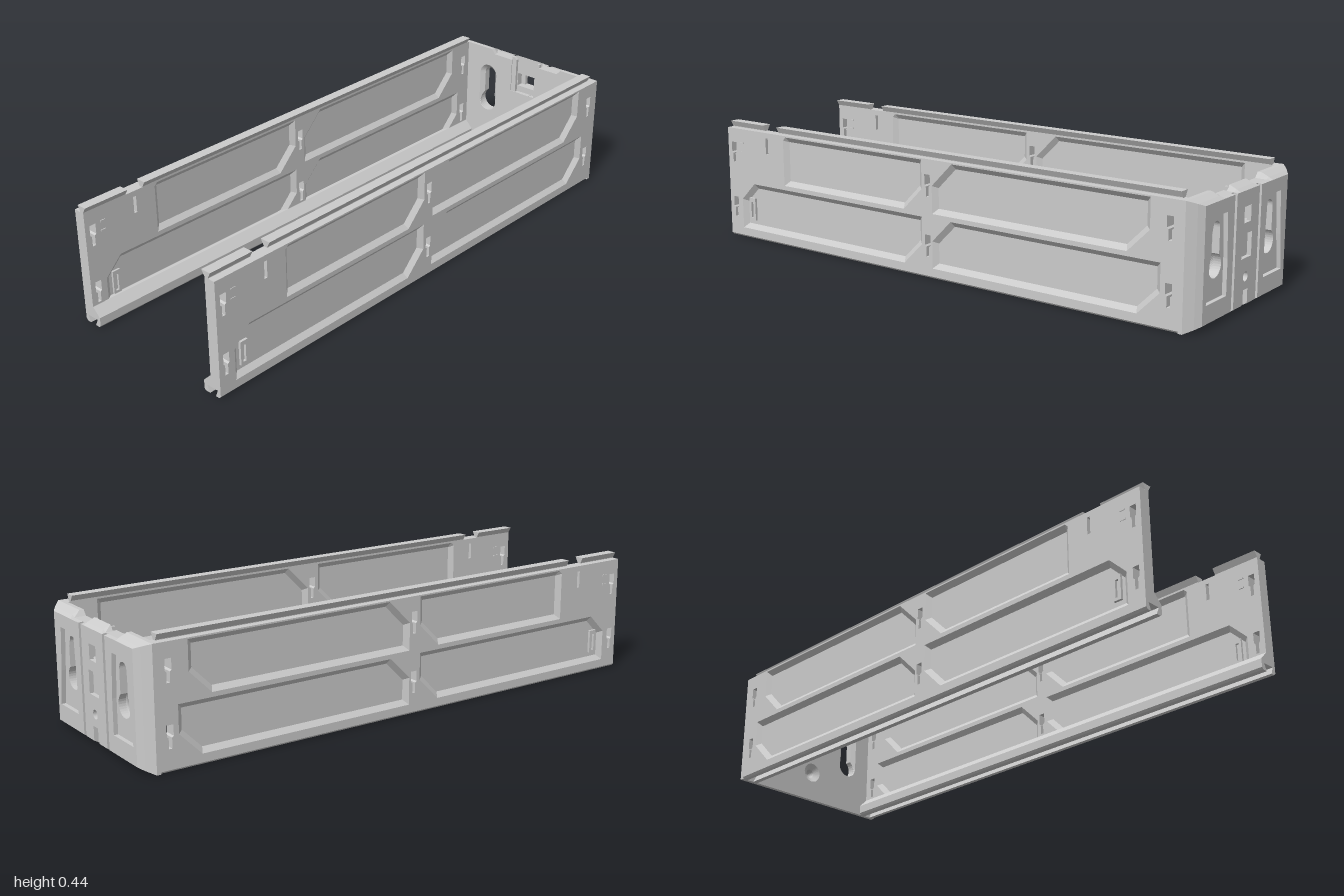
import * as THREE from 'three';

const mat = new THREE.MeshStandardMaterial({ color: 0xcccccc, side: THREE.DoubleSide });

const toShape = (pts, holes = []) => {
  const s = new THREE.Shape(pts.map(p => new THREE.Vector2(p[0], p[1])));
  s.holes = holes.map(h => new THREE.Path(h.map(p => new THREE.Vector2(p[0], p[1]))));
  return s;
};
const extrude = (pts, holes, z0, z1) =>
  new THREE.ExtrudeGeometry(toShape(pts, holes), { depth: z1 - z0, bevelEnabled: false }).translate(0, 0, z0);
const rect = (x0, x1, y0, y1) => [[x0, y0], [x1, y0], [x1, y1], [x0, y1]];
const mirrorX = pts => pts.map(([x, y]) => [-x, y]).reverse();

function add(parent, name, geo) {
  const m = new THREE.Mesh(geo, mat);
  m.name = name;
  parent.add(m);
  return m;
}

// Sloped band between two outlines with matching points
function loft(a, za, b, zb) {
  const v = [];
  a.forEach((p, i) => {
    const j = (i + 1) % a.length;
    const A = [...p, za], B = [...a[j], za], C = [...b[j], zb], D = [...b[i], zb];
    v.push(...A, ...B, ...C, ...A, ...C, ...D);
  });
  const g = new THREE.BufferGeometry();
  g.setAttribute('position', new THREE.Float32BufferAttribute(v, 3));
  g.computeVertexNormals();
  return g;
}

// Shrink a convex counter-clockwise outline by d
function inset(pts, d) {
  const n = pts.length;
  const normal = (p, q) => {
    const l = Math.hypot(q[0] - p[0], q[1] - p[1]);
    return [-(q[1] - p[1]) / l, (q[0] - p[0]) / l];
  };
  return pts.map((p, i) => {
    const a = normal(pts[(i + n - 1) % n], p), b = normal(p, pts[(i + 1) % n]);
    const k = d / (1 + a[0] * b[0] + a[1] * b[1]);
    return [p[0] + (a[0] + b[0]) * k, p[1] + (a[1] + b[1]) * k];
  });
}

// Panel outline with clipped top-front and bottom-rear corners
const pocket = (s0, s1, y0, y1, c1, c2) => [
  [s0, y0], [s1 - c2, y0], [s1, y0 + c2], [s1, y1], [s0 + c1, y1], [s0, y1 - c1],
];
// Stepped hook slot, wide above and narrow below
const hookSlot = (s, y) => [
  [s - 0.006, y - 0.04], [s + 0.006, y - 0.04], [s + 0.006, y - 0.005], [s + 0.012, y],
  [s + 0.012, y + 0.037], [s - 0.012, y + 0.037], [s - 0.012, y], [s - 0.006, y - 0.005],
];

function buildRail() {
  const rail = new THREE.Group();
  const T = 0.042, X0 = 0.283;

  // Wall: drawn lengthwise (s = -z), then turned to run along z
  const wall = new THREE.Group();
  wall.name = 'sideWall';
  wall.rotation.y = Math.PI / 2;
  wall.position.x = X0;
  rail.add(wall);
  const pockets = [
    pocket(-0.71, -0.055, 0.228, 0.41, 0.012, 0.08),
    pocket(-0.01, 0.84, 0.228, 0.41, 0.085, 0.08),
    pocket(-0.935, -0.055, 0.036, 0.212, 0.065, 0.08),
    pocket(-0.01, 0.88, 0.036, 0.212, 0.08, 0.08),
  ];
  const slots = [[-0.97, 0.325], [-0.97, 0.115], [-0.03, 0.325], [-0.03, 0.115], [0.91, 0.325], [0.91, 0.115]]
    .map(([s, y]) => hookSlot(s, y));
  slots.push(rect(-0.801, -0.789, 0.335, 0.395));
  add(wall, 'wallFrame', extrude(rect(-1, 0.945, 0.03, 0.415), [...pockets, ...slots], 0, T));
  for (const p of pockets) {
    const q = inset(p, 0.018);
    add(wall, 'outerPocketSlope', loft(p, T, q, 0.027));
    add(wall, 'innerPocketSlope', loft(p, 0, q, 0.014));
    add(wall, 'panelWeb', extrude(q, [], 0.014, 0.027));
  }
  // Small stops near the front end
  add(wall, 'stop', extrude(rect(-0.905, -0.875, 0.07, 0.155), [rect(-0.896, -0.884, 0.08, 0.14)], 0.006, 0.036));
  for (const y of [0.328, 0.362])
    add(wall, 'tick', extrude(rect(-0.94, -0.92, y - 0.003, y + 0.003), [], -0.003, T + 0.002));

  // Foot with a dovetail groove below and an inward flange
  add(rail, 'groovedFoot', extrude([
    [0.325, 0.007], [0.325, 0.036], [0.3, 0.036], [0.3, 0.068], [0.283, 0.068], [0.252, 0.037],
    [0.252, 0.007], [0.258, 0], [0.277, 0], [0.265, 0.025], [0.313, 0.025], [0.303, 0], [0.318, 0],
  ], [], -0.945, 1));

  // Dovetail tongue on top, interrupted near the front
  const tongue = [[0.283, 0.41], [0.298, 0.41], [0.298, 0.417], [0.308, 0.437], [0.271, 0.437], [0.283, 0.417]];
  add(rail, 'dovetail', extrude(tongue, [], -0.935, 0.76));
  add(rail, 'dovetailTip', extrude(tongue, [], 0.83, 1));
  return rail;
}

// Keyhole outlines, point for point compatible
function keyhole(cx, r, dip) {
  const pts = [];
  for (let i = 0; i <= 16; i++) {
    const a = Math.PI * i / 16;
    pts.push([cx + r * Math.cos(a), 0.303 + r * Math.sin(a)]);
  }
  for (let i = 0; i <= 24; i++) {
    const a = Math.PI - dip + (Math.PI + 2 * dip) * i / 24;
    pts.push([cx + 0.04 * Math.cos(a), 0.187 + 0.04 * Math.sin(a)]);
  }
  return pts;
}
const circle = (r, y) => Array.from({ length: 32 }, (_, i) =>
  [r * Math.cos(i * Math.PI / 16), y + r * Math.sin(i * Math.PI / 16)]);

// Chamfer the outer rear edges of the end plate
function chamfer(geo) {
  const p = geo.attributes.position;
  for (let i = 0; i < p.count; i++) {
    const t = Math.max(0, (-0.965 - p.getZ(i)) / 0.035);
    const lx = 0.325 - 0.05 * t;
    p.setX(i, THREE.MathUtils.clamp(p.getX(i), -lx, lx));
    p.setY(i, THREE.MathUtils.clamp(p.getY(i), 0.02 * t, 0.415 - 0.02 * t));
  }
  geo.computeVertexNormals();
  return geo;
}

function buildEndPlate() {
  const plate = new THREE.Group();
  plate.name = 'endPlate';
  const zF = -0.945, zM = -0.96, zR = -0.985;
  const halfTop = [[0.325, 0], [0.325, 0.415], [0.165, 0.415], [0.15, 0.397], [0.07, 0.397]];
  const outline = mid => [...halfTop, ...mid, ...mirrorX(mid), ...mirrorX(halfTop)];
  const wide = [-0.178, 0.178].map(x => keyhole(x, 0.04, 0));
  const narrow = [-0.178, 0.178].map(x => keyhole(x, 0.025, Math.acos(0.625)));
  const sink = circle(0.037, 0.113), bore = circle(0.016, 0.113);

  // Inner face, open around the latch
  add(plate, 'innerFace', extrude(outline([[0.065, 0.397], [0.065, 0.265]]), [...wide, sink], zM, zF));
  wide.forEach((w, i) => add(plate, 'keyholeBevel', loft(w, zF, narrow[i], zM)));
  add(plate, 'screwCountersink', loft(sink, zF, bore, zM));
  for (const s of [-1, 1]) {
    const strip = [[0.045, 0.265], [0.065, 0.265], [0.065, 0.41], [0.055, 0.41], [0.045, 0.4]];
    add(plate, 'latchGuide', extrude(s > 0 ? strip : mirrorX(strip), [], zM, zF - 0.003));
  }
  add(plate, 'latchLip', extrude(rect(-0.023, 0.023, 0.258, 0.266), [], zM, zF + 0.002));

  // Core
  add(plate, 'core', chamfer(extrude(outline([[0.055, 0.415]]),
    [...narrow, bore, rect(-0.042, 0.042, 0.29, 0.343)], zR, zM)));

  // Rear cladding: central strip and two keyhole panels
  add(plate, 'rearStrip', chamfer(extrude(
    [[-0.075, 0], [-0.018, 0], [-0.018, 0.07], [0.018, 0.07], [0.018, 0], [0.075, 0], [0.075, 0.397],
      [0.07, 0.397], [0.055, 0.415], [-0.055, 0.415], [-0.07, 0.397], [-0.075, 0.397]],
    [bore, rect(-0.033, 0.033, 0.175, 0.255), rect(-0.023, 0.023, 0.29, 0.343)], -1, zR)));
  const panel = [[0.09, 0], [0.325, 0], [0.325, 0.415], [0.165, 0.415], [0.15, 0.397], [0.09, 0.397]];
  const recess = [[0.125, 0.08], [0.255, 0.08], [0.24, 0.2], [0.228, 0.35], [0.135, 0.35], [0.125, 0.2]];
  for (const s of [-1, 1]) {
    const f = s > 0 ? p => p : mirrorX;
    add(plate, 'rearPanel', chamfer(extrude(f(panel), [f(recess)], -1, zR)));
  }
  return plate;
}

export function createModel() {
  const model = new THREE.Group();
  model.name = 'bracketFrame';
  for (const s of [1, -1]) {
    const rail = buildRail();
    rail.name = s > 0 ? 'leftRail' : 'rightRail';
    rail.scale.x = s;
    model.add(rail);
  }
  model.add(buildEndPlate());
  return model;
}
